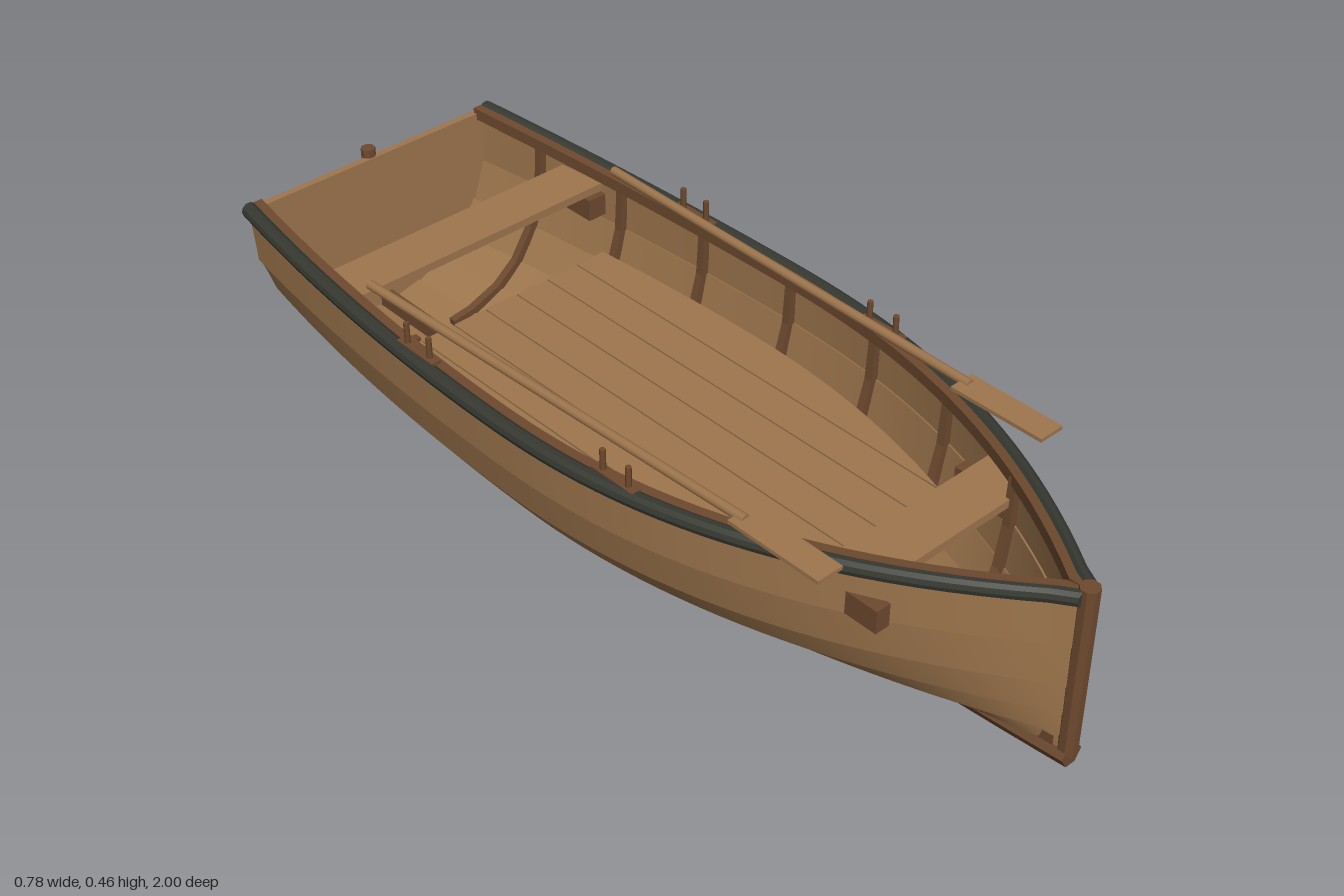
import * as THREE from 'three';
import { toCreasedNormals } from 'three/addons/utils/BufferGeometryUtils.js';

const mat = (name, color) => Object.assign(new THREE.MeshStandardMaterial({ color }), { name });

// Hull lines: one entry per plank edge, from keel to sheer
const BEAM = [0.012, 0.13, 0.225, 0.29, 0.34, 0.365, 0.372];
const MID_Y = [0.03, 0.04, 0.07, 0.12, 0.19, 0.28, 0.387];
const BOW_Y = [0.075, 0.09, 0.12, 0.17, 0.235, 0.325, 0.434];
const STERN_Y = [0.035, 0.05, 0.08, 0.125, 0.2, 0.285, 0.412];
const BOW_POWER = [1, 1.5, 1.75, 1.95, 2.1, 2.2, 2.23];
const STERN_TAPER = [0, 0.3, 0.28, 0.25, 0.22, 0.18, 0.17];

function hullPoint(k, z) {
  const t = (z + 0.1) / 1.08, s = (z + 0.1) / 0.88;
  if (z > -0.1) {
    const x = BEAM[k] * (1 - Math.pow(Math.min(t, 1), BOW_POWER[k]));
    return new THREE.Vector2(Math.max(x, 0.008), MID_Y[k] + (BOW_Y[k] - MID_Y[k]) * t * t);
  }
  return new THREE.Vector2(BEAM[k] * (1 - STERN_TAPER[k] * s * s), MID_Y[k] + (STERN_Y[k] - MID_Y[k]) * s * s);
}

// Skin a row of cross-sections (counter-clockwise seen from +z) ordered by rising z
function loft(zs, section, side = 1) {
  const rings = zs.map((z) => {
    const r = section(z).map(([x, y]) => [x * side, y, z]);
    return side < 0 ? r.reverse() : r;
  });
  const pos = [], n = rings[0].length;
  const tri = (a, b, c) => pos.push(...a, ...b, ...c);
  for (let i = 0; i < rings.length - 1; i++) {
    for (let j = 0; j < n; j++) {
      const k = (j + 1) % n, p = rings[i], q = rings[i + 1];
      tri(p[j], p[k], q[k]);
      tri(p[j], q[k], q[j]);
    }
  }
  const first = rings[0], last = rings[rings.length - 1];
  for (let j = 1; j < n - 1; j++) {
    tri(first[0], first[j + 1], first[j]);
    tri(last[0], last[j], last[j + 1]);
  }
  const g = new THREE.BufferGeometry();
  g.setAttribute('position', new THREE.Float32BufferAttribute(pos, 3));
  return toCreasedNormals(g, 0.45);
}

const range = (a, b, n) => Array.from({ length: n + 1 }, (_, i) => a + ((b - a) * i) / n);
const rect = (x0, x1, y0, y1) => [[x0, y0], [x1, y0], [x1, y1], [x0, y1]];

export function createModel() {
  const boat = new THREE.Group();
  boat.name = 'rowingBoat';
  const wood = mat('plankWood', 0x9e764d);
  const trim = mat('darkTrimWood', 0x6e4a2f);
  const black = mat('blackRail', 0x363831);
  const add = (name, geometry, material, x = 0, y = 0, z = 0) => {
    const m = new THREE.Mesh(geometry, material);
    m.name = name;
    m.position.set(x, y, z);
    boat.add(m);
    return m;
  };
  const zs = range(-0.975, 0.98, 44);

  for (const side of [1, -1]) {
    // Overlapping hull planks, each lower edge standing proud of the one below
    for (let k = 0; k < 6; k++) {
      add('hullPlank', loft(zs, (z) => {
        const a = hullPoint(k, z), b = hullPoint(k + 1, z);
        const n = new THREE.Vector2(b.y - a.y, a.x - b.x).normalize();
        const at = (p, d) => [Math.max(0, p.x + n.x * d), p.y + n.y * d];
        return [at(a, 0.005), at(b, 0), at(b, -0.011), at(a, -0.006)];
      }, side), wood);
    }

    // Black outer rail, rounded, and inner rail
    add('outerRail', loft(zs, (z) => {
      const p = hullPoint(6, z);
      return range(0, 9, 9).map((i) => {
        const a = (i / 10) * Math.PI * 2;
        return [Math.max(0, p.x + 0.003 + 0.0175 * Math.cos(a)), p.y + 0.0165 * Math.sin(a)];
      });
    }, side), black);
    add('innerRail', loft(zs, (z) => {
      const p = hullPoint(6, z);
      return rect(Math.max(0, p.x - 0.03), Math.max(0.001, p.x - 0.01), p.y - 0.014, p.y + 0.012);
    }, side), trim);

    // Ribs following the inside of the hull, fitted at their narrower face
    for (const z of [-0.79, -0.55, -0.31, -0.06, 0.19, 0.43, 0.68]) {
      const zf = z + Math.sign(z) * 0.009;
      const pts = range(0, 6, 6).map((k) => hullPoint(k, zf));
      pts[0].lerp(pts[1], 0.4);
      const inset = (d) => pts.map((p, k) => {
        const a = pts[Math.max(k - 1, 0)], b = pts[Math.min(k + 1, 6)];
        const n = new THREE.Vector2(b.y - a.y, a.x - b.x).normalize();
        return new THREE.Vector2(side * Math.max(0, p.x - n.x * d), p.y - n.y * d);
      });
      const shape = new THREE.Shape([...inset(0.007), ...inset(0.024).reverse()]);
      add('rib', new THREE.ExtrudeGeometry(shape, { depth: 0.018, bevelEnabled: false }), trim, 0, 0, z - 0.009);
    }

    // Slim bilge runner under the hull
    add('bilgeRunner', loft(range(-0.6, 0.3, 16), (z) => {
      const p = hullPoint(1, z);
      return rect(p.x - 0.018, p.x + 0.005, p.y - 0.004, p.y + 0.005);
    }, side), trim);

    // Seat support blocks
    add('bowSeatBlock', new THREE.BoxGeometry(0.033, 0.05, 0.175), trim, side * 0.195, 0.325, 0.625);
    add('sternSeatBlock', new THREE.BoxGeometry(0.045, 0.05, 0.15), trim, side * 0.311, 0.325, -0.675);

    // Thole pins in pairs on a small pad
    for (const zc of [0.2, -0.345]) {
      const x = hullPoint(6, zc).x - 0.01;
      add('tholePad', new THREE.BoxGeometry(0.022, 0.012, 0.11), trim, side * x, hullPoint(6, zc).y + 0.012, zc);
      for (const dz of [-0.034, 0.034]) {
        add('tholePin', new THREE.CylinderGeometry(0.006, 0.006, 0.06, 8), trim, side * x, 0.422, zc + dz);
      }
    }

    // Oar: round shaft and flat blade
    const from = new THREE.Vector3(side * 0.316, 0.436, -0.55);
    const to = new THREE.Vector3(side * 0.285, 0.445, 0.47);
    const dir = to.clone().sub(from);
    const shaft = add('oarShaft', new THREE.CylinderGeometry(0.01, 0.01, dir.length(), 10), wood);
    shaft.position.copy(from).add(to).multiplyScalar(0.5);
    shaft.quaternion.setFromUnitVectors(new THREE.Vector3(0, 1, 0), dir.normalize());
    add('oarBlade', new THREE.BoxGeometry(0.058, 0.008, 0.215), wood, side * 0.281, 0.443, 0.559);
  }

  // Transom
  const right = range(0, 6, 6).map((k) => hullPoint(k, -0.975));
  const left = right.map((p) => new THREE.Vector2(-p.x, p.y)).reverse();
  add('transom', new THREE.ExtrudeGeometry(new THREE.Shape([...right, ...left]),
    { depth: 0.016, bevelEnabled: false }), wood, 0, 0, -0.983);

  // Faceted stem and stern posts
  const post = (r, h) => toCreasedNormals(new THREE.CylinderGeometry(r, r, h, 8).rotateY(Math.PI / 8), 0.45);
  add('stemPost', post(0.019, 0.375), trim, 0, 0.2675, 0.982);
  add('sternPost', post(0.016, 0.39), trim, 0, 0.235, -0.985);

  // Keel with tapered underside, and keelson inside
  add('keel', loft(range(-0.98, 0.992, 30), (z) => {
    const t = Math.max(0, (z + 0.1) / 1.08), y = 0.053 * t * t;
    return [[-0.012, y], [0.012, y], [0.026, y + 0.024], [0.018, y + 0.036], [-0.018, y + 0.036], [-0.026, y + 0.024]];
  }), trim);
  add('keelson', loft(range(-0.965, 0.96, 30), (z) => {
    const y = hullPoint(0, z).y;
    return rect(-0.015, 0.015, y, y + 0.035);
  }), trim);

  // Floorboards set inside the ribs, trimmed to the hull curve
  const floorEdge = (z) => hullPoint(4, z).x - 0.04;
  for (let i = -3; i <= 3; i++) {
    const side = i < 0 ? -1 : 1, c = Math.abs(i) * 0.0825;
    const outer = Math.abs(i) === 3 ? 0.32 : c + 0.0395;
    add('floorboard', loft(range(-0.55, 0.52, 24), (z) => {
      const e = floorEdge(z);
      return rect(Math.min(c - 0.0395, e), Math.min(outer, e), 0.238, 0.25);
    }, side), wood);
  }

  // Seats
  const seat = (name, z0, z1) => add(name, loft([z0, z1], (z) => {
    const w = hullPoint(5, z).x - 0.005;
    return rect(-w, w, 0.35, 0.368);
  }), wood);
  seat('bowSeat', 0.57, 0.68);
  seat('sternSeat', -0.73, -0.615);

  return boat;
}
